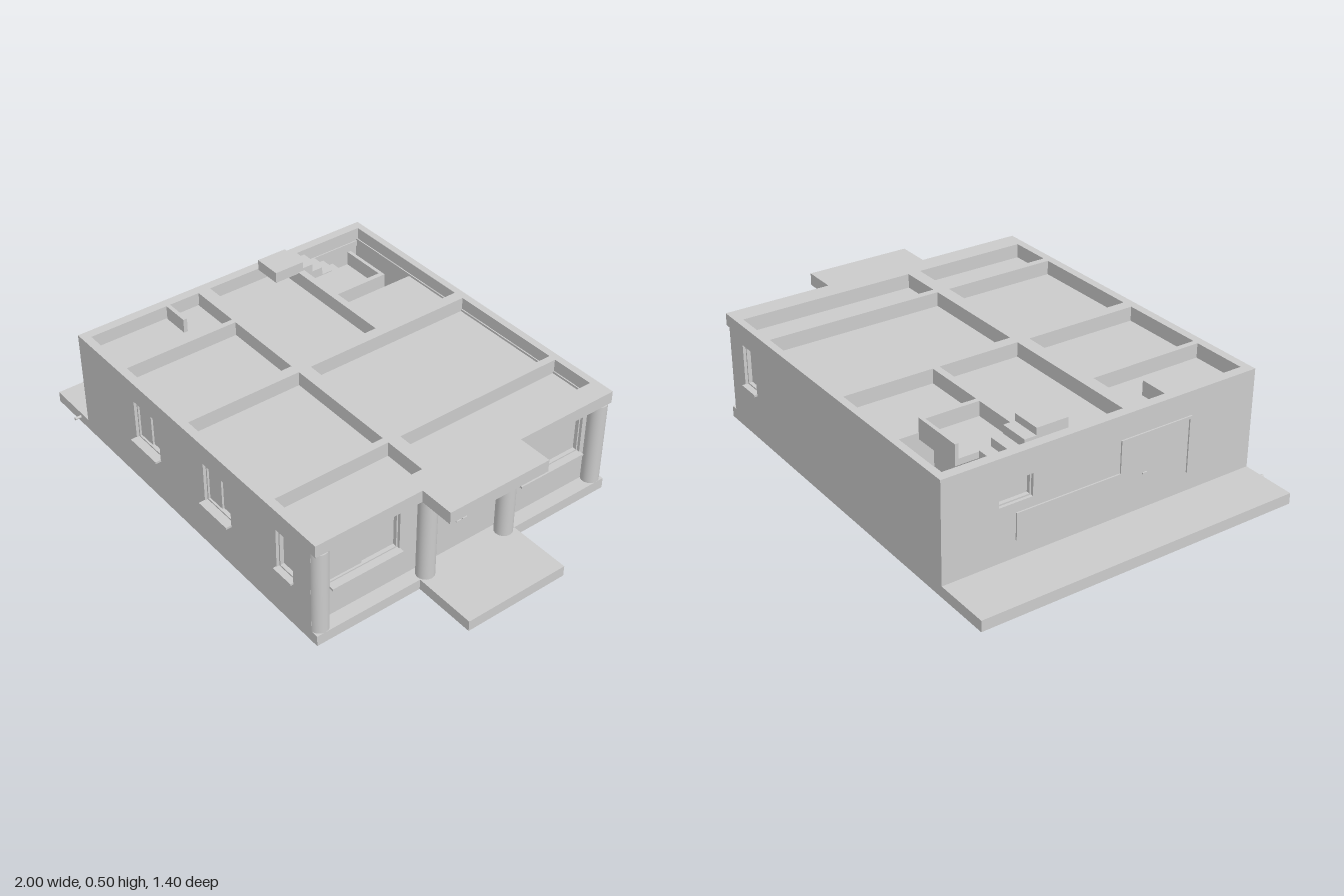
import * as THREE from 'three';

const grey = new THREE.MeshStandardMaterial({ color: 0xcccccc });
const SLAB = 0.045, EAVES = 0.404, TOP = 0.455;

function add(parent, name, geometry) {
  const mesh = new THREE.Mesh(geometry, grey);
  mesh.name = name;
  parent.add(mesh);
  return mesh;
}

// Box given by its limits on each axis
function box(parent, name, x0, x1, y0, y1, z0, z1) {
  const g = new THREE.BoxGeometry(x1 - x0, y1 - y0, z1 - z0);
  g.translate((x0 + x1) / 2, (y0 + y1) / 2, (z0 + z1) / 2);
  return add(parent, name, g);
}

const rect = (u0, u1, v0, v1) => [[u0, v0], [u1, v0], [u1, v1], [u0, v1]];

// Anticlockwise outline with clockwise holes
function outline(points, holes) {
  const wind = (list, clockwise) => {
    const path = list.map(p => new THREE.Vector2(...p));
    return THREE.ShapeUtils.isClockWise(path) === clockwise ? path : path.reverse();
  };
  const shape = new THREE.Shape(wind(points, false));
  for (const h of holes) shape.holes.push(new THREE.Path(wind(h, true)));
  return shape;
}

// Horizontal plate from plan points [x, z]
function plate(parent, name, points, holes, y0, y1) {
  const flip = list => list.map(([x, z]) => [x, -z]);
  const g = new THREE.ExtrudeGeometry(outline(flip(points), holes.map(flip)), { depth: y1 - y0, bevelEnabled: false });
  g.rotateX(-Math.PI / 2);
  g.translate(0, y0, 0);
  return add(parent, name, g);
}

// Window set into a wall whose outer face is at z = d; the first of two sashes slides in front
function windowUnit(parent, d, { u0, u1, y0, y1, sashes = 2, sill }) {
  const win = new THREE.Group();
  win.name = 'window';
  parent.add(win);
  const w = 0.006, back = d - 0.034, front = d - 0.012;
  box(win, 'pane', u0, u1, y0, y1, back, d - 0.028);
  box(win, 'frameSide', u0, u0 + w, y0, y1, back, front);
  box(win, 'frameSide', u1 - w, u1, y0, y1, back, front);
  box(win, 'frameTop', u0 + w, u1 - w, y1 - w, y1, back, front);
  box(win, 'frameBottom', u0 + w, u1 - w, y0, y0 + w, back, front);
  if (sashes === 2) box(win, 'slidingSash', u0 + w, (u0 + u1) / 2, y0 + w, y1 - w, back, d - 0.02);
  if (sill) box(win, 'sill', u0 - 0.003, u1 + 0.003, y0 - 0.009, y0, back, d + sill);
}

// Wall facing local +z, turned about y to its side of the house
function wall(parent, name, turn, d, u0, u1, windows) {
  const side = new THREE.Group();
  side.name = name;
  side.rotation.y = turn;
  parent.add(side);
  const holes = windows.map(w => rect(w.u0, w.u1, w.y0, w.y1));
  const g = new THREE.ExtrudeGeometry(outline(rect(u0, u1, SLAB, EAVES), holes), { depth: 0.035, bevelEnabled: false });
  g.translate(0, 0, d - 0.035);
  add(side, 'wallPanel', g);
  windows.forEach(w => windowUnit(side, d, w));
  return side;
}

export function createModel() {
  const house = new THREE.Group();
  house.name = 'house';

  // Ground slab with porch
  plate(house, 'groundSlab', [[-1, -0.69], [0.738, -0.69], [0.738, -0.235], [1, -0.235], [1, 0.215],
    [0.738, 0.215], [0.738, 0.67], [-1, 0.67]], [], 0, SLAB);

  // Beam grid on the roof, open over every bay
  const bays = [
    [0.461, 0.645, -0.66, 0.089], [-0.063, 0.431, -0.66, 0.089],
    [-0.73, -0.11, -0.66, -0.287], [-0.73, -0.11, -0.258, 0.089],
    [-0.73, -0.497, 0.144, 0.635], [-0.474, -0.11, 0.144, 0.635],
    [-0.063, 0.431, 0.144, 0.635], [0.461, 0.645, 0.144, 0.635],
  ].map(b => rect(...b));
  plate(house, 'roofBeams', [[-0.77, -0.69], [0.733, -0.69], [0.733, -0.235], [0.877, -0.235], [0.877, 0.215],
    [0.733, 0.215], [0.733, 0.67], [-0.77, 0.67]], bays, EAVES, TOP);

  // Sunken roof deck with an L-shaped stair opening
  const opening = [[-0.73, -0.66], [-0.385, -0.66], [-0.385, -0.525], [-0.607, -0.525], [-0.607, -0.287], [-0.73, -0.287]];
  plate(house, 'roofDeck', rect(-0.74, 0.65, -0.67, 0.645), [opening], 0.37, 0.395);
  box(house, 'stairParapet', -0.607, -0.385, 0.385, TOP, -0.525, -0.51);
  box(house, 'stairParapet', -0.405, -0.385, 0.385, TOP, -0.51, -0.287);
  box(house, 'deckUpstand', -0.73, -0.61, 0.385, TOP, 0.278, 0.295);

  // Partitions under the beams
  for (const [x0, x1, z0, z1] of [[-0.11, -0.063, -0.66, 0.635], [0.431, 0.461, -0.66, 0.635],
    [-0.735, 0.645, 0.089, 0.144], [-0.735, -0.11, -0.287, -0.258], [-0.497, -0.474, 0.144, 0.635]]) {
    box(house, 'partition', x0, x1, SLAB, EAVES, z0, z1);
  }

  // Stairs: a flight along the back, a corner landing, a flight along the side
  const stairs = new THREE.Group();
  stairs.name = 'stairs';
  house.add(stairs);
  const rise = 0.034;
  for (let i = 0; i < 5; i++) {
    const x = -0.388 - i * 0.036;
    box(stairs, 'lowerStep', x - 0.036, x, SLAB, 0.12 + i * rise, -0.66, -0.525);
  }
  box(stairs, 'landing', -0.73, -0.568, 0.25, 0.297, -0.66, -0.525);
  for (let i = 0; i < 5; i++) {
    const z = -0.525 + i * 0.049;
    const top = 0.297 + (i + 1) * rise;
    box(stairs, 'upperStep', -0.73, -0.607, top - 0.06, top, z, z + 0.049);
  }
  box(stairs, 'topStep', -0.73, -0.607, 0.45, 0.496, -0.28, -0.147);

  // Outer walls; the long ones stop at the corner columns
  wall(house, 'frontWall', 0, 0.67, -0.77, 0.705, [
    { u0: -0.385, u1: -0.22, y0: 0.2, y1: 0.37, sill: 0.025 },
    { u0: 0.073, u1: 0.238, y0: 0.2, y1: 0.37, sill: 0.025 },
    { u0: 0.51, u1: 0.605, y0: 0.2, y1: 0.37, sashes: 1, sill: 0.014 },
  ]);
  wall(house, 'backWall', Math.PI, 0.69, -0.705, 0.77, [
    { u0: -0.605, u1: -0.51, y0: 0.2, y1: 0.37, sashes: 1, sill: 0.014 },
  ]);
  const leftWall = wall(house, 'sideWall', -Math.PI / 2, 0.77, -0.655, 0.635, [
    { u0: -0.46, u1: -0.32, y0: 0.265, y1: 0.355, sashes: 1, sill: 0 },
  ]);
  const facade = wall(house, 'entranceWall', Math.PI / 2, 0.68, -0.635, 0.655, [
    { u0: -0.57, u1: -0.265, y0: 0.18, y1: 0.38, sill: 0.02 },
    { u0: 0.3, u1: 0.605, y0: 0.18, y1: 0.38, sill: 0.02 },
  ]);

  // Entrance door trim and handles
  box(facade, 'doorTransom', -0.115, 0.13, 0.303, 0.307, 0.675, 0.686);
  for (const u of [-0.008, 0.022]) {
    box(facade, 'doorHandle', u - 0.01, u + 0.01, 0.179, 0.183, 0.675, 0.7);
  }

  // Stepped trim and handle on the side wall
  const trim = [[-0.385, 0.12], [-0.385, 0.22], [0.06, 0.22], [0.06, 0.352], [0.37, 0.352], [0.37, 0.13]];
  for (let i = 0; i < trim.length - 1; i++) {
    const [a, b] = [trim[i], trim[i + 1]], r = 0.005;
    box(leftWall, 'wallTrim', Math.min(a[0], b[0]) - r, Math.max(a[0], b[0]) + r,
      Math.min(a[1], b[1]) - r, Math.max(a[1], b[1]) + r, 0.765, 0.776);
  }
  box(leftWall, 'sideDoorHandle', 0.157, 0.177, 0.188, 0.194, 0.765, 0.776);

  // Round columns at the corners and beside the entrance
  for (const [x, z] of [[0.702, 0.634], [0.722, 0.178], [0.722, -0.195], [0.702, -0.654]]) {
    const g = new THREE.CylinderGeometry(0.036, 0.036, EAVES - SLAB, 32);
    add(house, 'column', g).position.set(x, (EAVES + SLAB) / 2, z);
  }

  // Drain pipe at the slab edge
  const pipe = new THREE.CylinderGeometry(0.006, 0.006, 0.04, 12);
  pipe.rotateX(Math.PI / 2);
  add(house, 'drainPipe', pipe).position.set(-0.83, 0.025, 0.677);

  return house;
}
